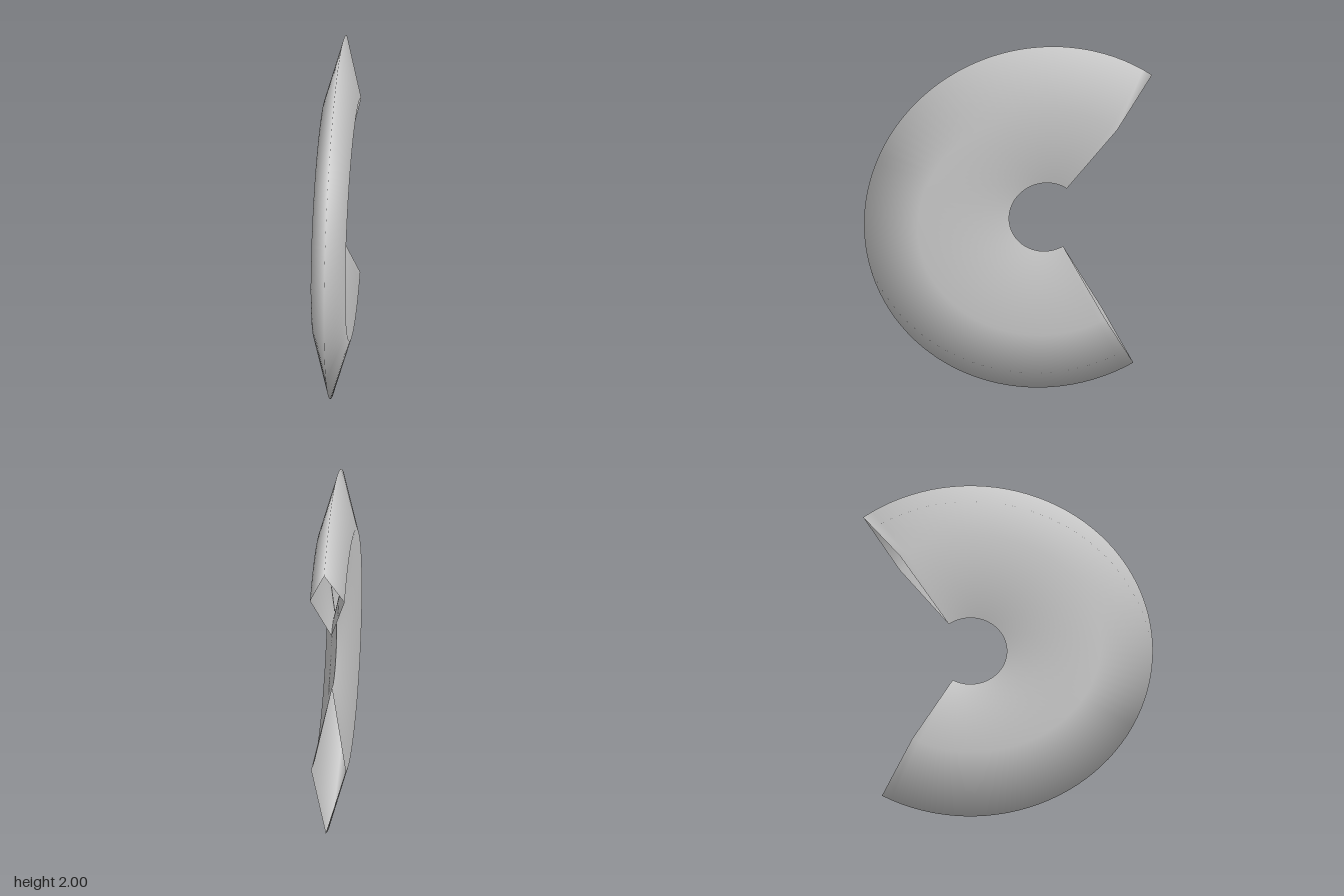
import * as THREE from 'three';

export function createModel() {
  const group = new THREE.Group();
  const rad = THREE.MathUtils.degToRad;

  // wedge-edged section: inner rim, shoulder, sharp outer rim, shoulder, inner rim
  const shoulder = 0.657;
  const profile = [[0.2, 0], [shoulder, -0.095], [1, 0], [shoulder, 0.095], [0.2, 0]]
    .map(([r, h]) => new THREE.Vector2(r, h));

  // open ring swept from the lower cut round the front to the upper cut
  const geometry = new THREE.LatheGeometry(profile, 72, rad(-119), rad(245));
  geometry.rotateZ(Math.PI / 2);

  // the shoulders run slightly wider toward the front
  const pos = geometry.attributes.position;
  for (let i = 0; i < pos.count; i++) {
    if (Math.abs(pos.getX(i)) < 0.05) continue;
    const y = pos.getY(i), z = pos.getZ(i);
    const forward = Math.max(0, z / Math.hypot(y, z));
    const k = 1 + (0.058 / shoulder) * forward ** 2;
    pos.setXYZ(i, pos.getX(i), y * k, z * k);
  }
  geometry.computeVertexNormals();

  const blade = new THREE.Mesh(
    geometry,
    new THREE.MeshStandardMaterial({ color: 0xcccccc, side: THREE.DoubleSide })
  );
  blade.name = 'crescentBlade';
  blade.position.set(0, 1, -0.203);
  group.add(blade);
  return group;
}
